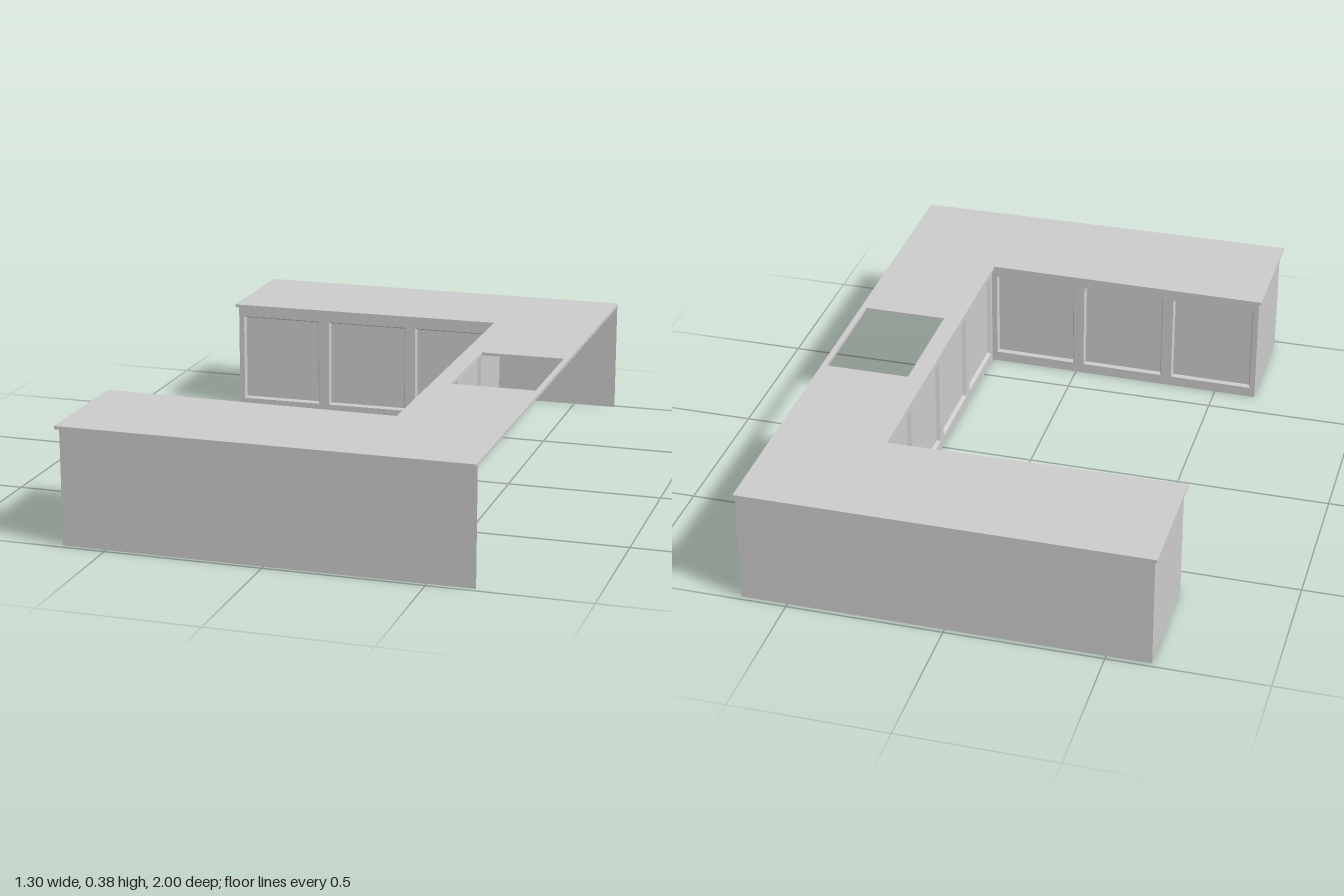
import * as THREE from 'three';

const material = new THREE.MeshStandardMaterial({ color: 0xcccccc, side: THREE.DoubleSide, flatShading: true });
const WALL_TOP = 0.37;

function addMesh(parent, name, geometry) {
  const mesh = new THREE.Mesh(geometry, material);
  mesh.name = name;
  parent.add(mesh);
  return mesh;
}

// Nested rectangles [left, bottom, right, top, depth] joined into one door front
function doorGeometry(rings) {
  const positions = [];
  const index = [];
  rings.forEach(([l, b, r, t, z], k) => {
    positions.push(l, b, z, r, b, z, r, t, z, l, t, z);
    if (k === 0) return;
    for (let i = 0; i < 4; i++) {
      const j = (i + 1) % 4;
      const o = (k - 1) * 4;
      const n = k * 4;
      index.push(o + i, o + j, n + j, o + i, n + j, n + i);
    }
  });
  const last = (rings.length - 1) * 4;
  index.push(last, last + 1, last + 2, last, last + 2, last + 3);
  const geometry = new THREE.BufferGeometry();
  geometry.setAttribute('position', new THREE.Float32BufferAttribute(positions, 3));
  geometry.setIndex(index);
  const flat = geometry.toNonIndexed();
  flat.computeVertexNormals();
  return flat;
}

// Row of framed doors from a to b (x, z), facing left-hand normal of the run
function doorRun(name, a, b, count) {
  const run = new THREE.Group();
  run.name = name;
  const dx = b[0] - a[0];
  const dz = b[1] - a[1];
  const w = Math.hypot(dx, dz) / count;
  const inset = (sx, sy, depth) => [sx, sy, w - sx, WALL_TOP - sy, depth];
  const geometry = doorGeometry([
    inset(0, 0, 0),
    inset(0.018, 0.034, 0),
    inset(0.024, 0.04, -0.012),
  ]);
  for (let i = 0; i < count; i++) addMesh(run, 'door', geometry).position.x = i * w;
  run.position.set(a[0], 0, a[1]);
  run.rotation.y = Math.atan2(-dz, dx);
  return run;
}

export function createModel() {
  const model = new THREE.Group();
  model.name = 'uShapedCounter';

  // Worktop with sink opening
  const outline = new THREE.Shape([
    [-0.65, -1], [0.648, -1], [0.648, 1], [-0.65, 1],
    [-0.65, 0.585], [0.295, 0.598], [0.295, -0.598], [-0.65, -0.585],
  ].map(([x, y]) => new THREE.Vector2(x, y)));
  outline.holes.push(new THREE.Path([
    [0.355, -0.2], [0.355, 0.2], [0.63, 0.2], [0.63, -0.2],
  ].map(([x, y]) => new THREE.Vector2(x, y))));
  const top = new THREE.ExtrudeGeometry(outline, { depth: 0.01, bevelEnabled: false });
  top.rotateX(-Math.PI / 2);
  addMesh(model, 'worktop', top).position.y = WALL_TOP;

  // Outer walls and end panels of both arms; the +x side stays open
  for (const side of [1, -1]) {
    const wall = addMesh(model, 'outerWall', new THREE.PlaneGeometry(1.288, WALL_TOP));
    wall.position.set(0.004, WALL_TOP / 2, side * 0.985);
    if (side < 0) wall.rotation.y = Math.PI;
    const end = addMesh(model, 'endPanel', new THREE.PlaneGeometry(0.388, WALL_TOP));
    end.position.set(-0.64, WALL_TOP / 2, side * 0.791);
    end.rotation.y = -Math.PI / 2;
  }

  // Inner door fronts
  model.add(doorRun('spineDoors', [0.307, -0.61], [0.307, 0.61], 4));
  model.add(doorRun('frontArmDoors', [0.307, 0.61], [-0.64, 0.597], 3));
  model.add(doorRun('backArmDoors', [-0.64, -0.597], [0.307, -0.61], 3));

  return model;
}
